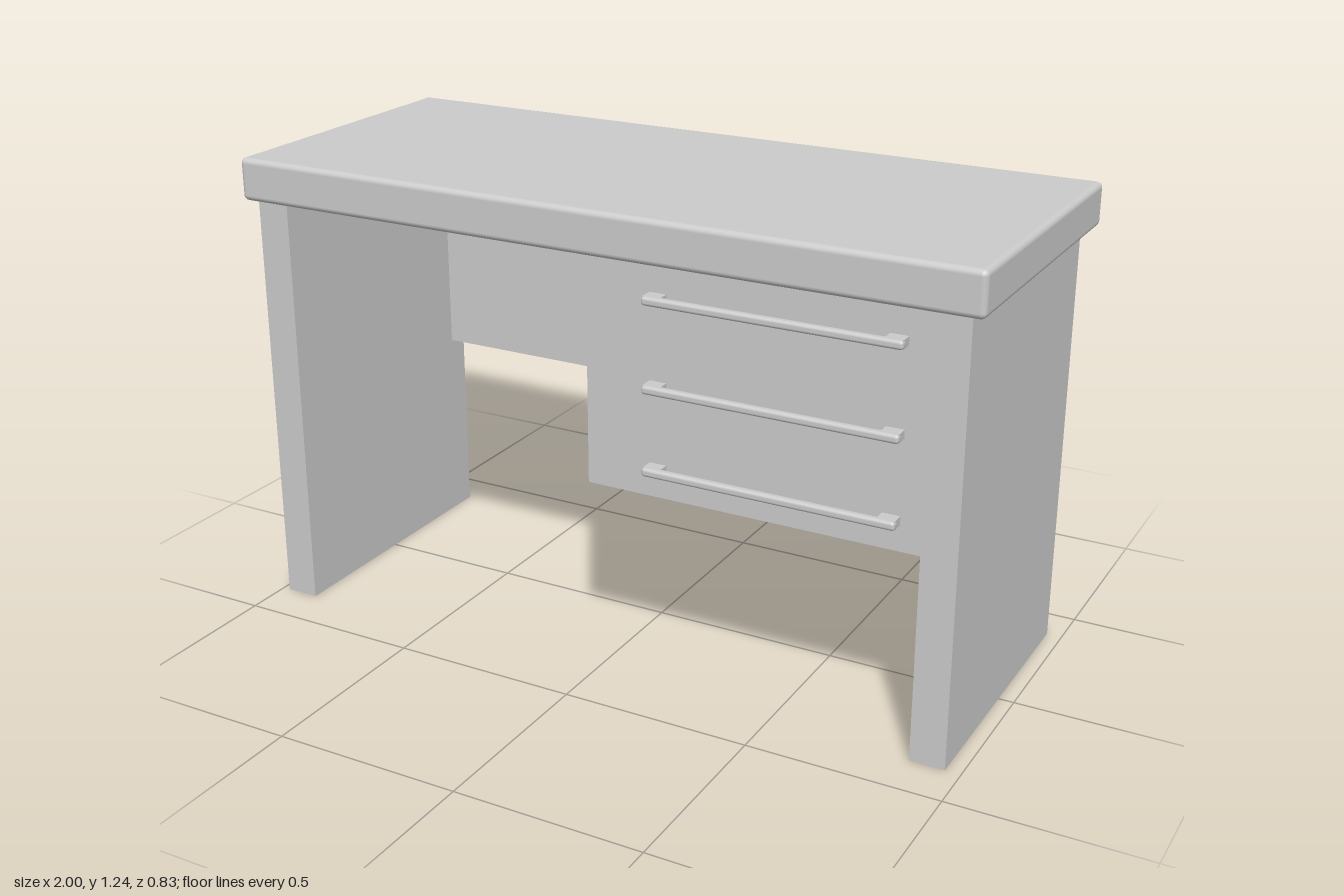
import * as THREE from 'three';
import { RoundedBoxGeometry } from 'three/addons/geometries/RoundedBoxGeometry.js';

export function createModel() {
  const desk = new THREE.Group();
  desk.name = 'desk';
  const material = new THREE.MeshStandardMaterial({ color: 0xcccccc });

  // Box given by its min and max corners, with optional rounded edges
  function block(name, [x0, y0, z0], [x1, y1, z1], radius = 0, parent = desk) {
    const size = [x1 - x0, y1 - y0, z1 - z0];
    const geometry = radius
      ? new RoundedBoxGeometry(...size, 3, radius)
      : new THREE.BoxGeometry(...size);
    const mesh = new THREE.Mesh(geometry, material);
    mesh.name = name;
    mesh.position.set((x0 + x1) / 2, (y0 + y1) / 2, (z0 + z1) / 2);
    parent.add(mesh);
  }

  const under = 1.128, apron = 0.535, back = -0.388, front = 0.375;

  // Slab top with softened edges
  block('deskTop', [-1, under, -0.415], [1, 1.24, 0.415], 0.015);

  // Full-depth side panels
  block('rightSidePanel', [-0.98, 0, back], [-0.89, under, front]);
  block('leftSidePanel', [0.87, 0, back], [0.96, under, front]);

  // Modesty panel along the back and the drawer cabinet in front of it
  block('backPanel', [-0.89, apron, back], [0.87, under, back + 0.06]);
  block('drawerCabinet', [0, apron, back + 0.06], [0.87, under, front]);

  // Bar pulls: a slim rail on two end posts
  [1.043, 0.823, 0.612].forEach((y, i) => {
    const handle = new THREE.Group();
    handle.name = `drawerHandle${i + 1}`;
    const h = 0.011;
    block('handleBar', [0.17, y - h, 0.396], [0.82, y + h, 0.418], 0.008, handle);
    for (const x of [0.172, 0.773]) {
      block('handlePost', [x, y - h, front - 0.005], [x + 0.045, y + h, 0.41], 0, handle);
    }
    desk.add(handle);
  });

  return desk;
}
